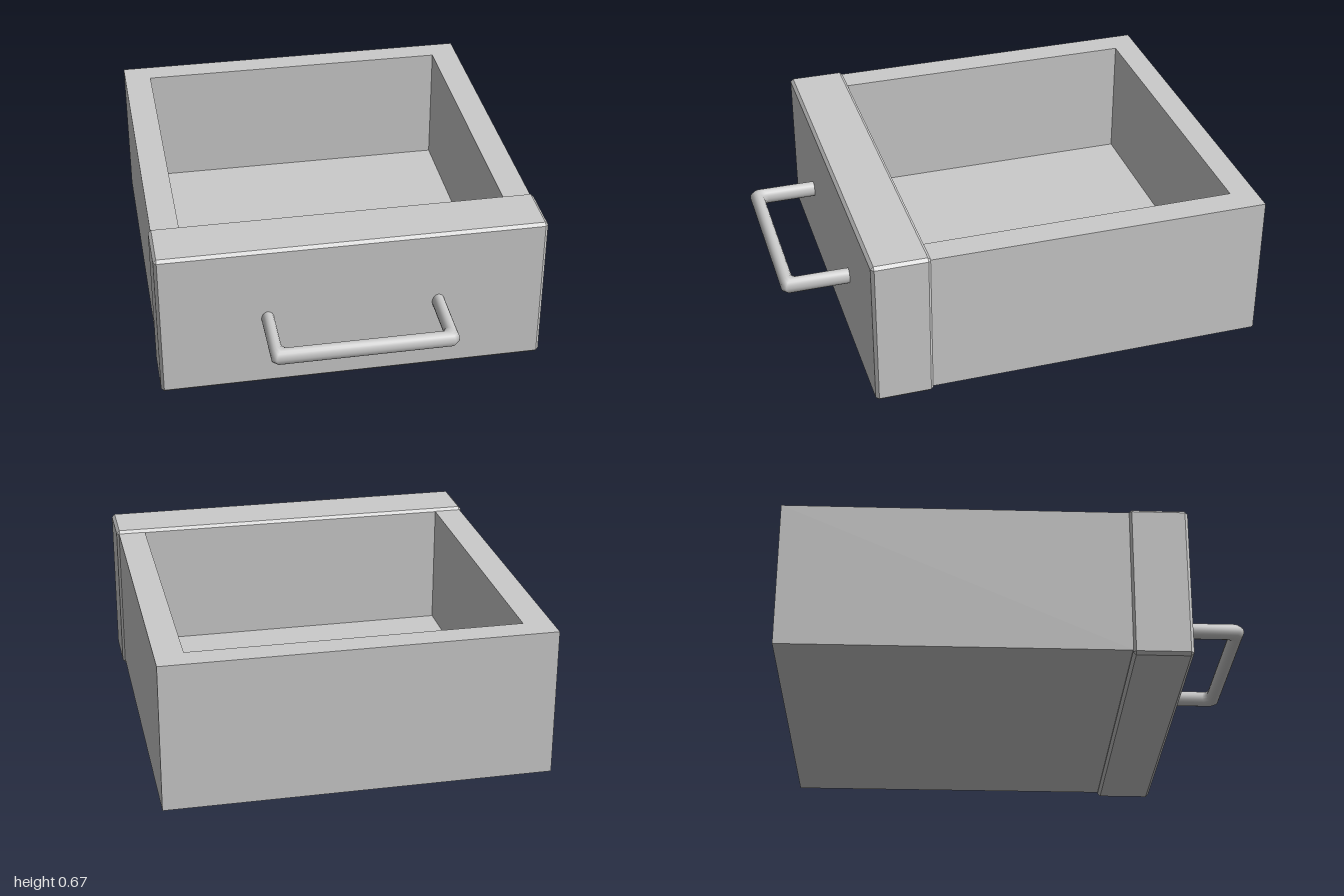
import * as THREE from 'three';
import { ConvexGeometry } from 'three/addons/geometries/ConvexGeometry.js';

const material = new THREE.MeshStandardMaterial({ color: 0xcccccc });

function addPart(group, name, geometry) {
  const mesh = new THREE.Mesh(geometry, material);
  mesh.name = name;
  group.add(mesh);
  return mesh;
}

// Box with every edge cut at 45 degrees, centred on the origin
function chamferedBox(w, h, d, c) {
  const points = [];
  for (const x of [-w / 2, w / 2])
    for (const y of [-h / 2, h / 2])
      for (const z of [-d / 2, d / 2])
        for (let axis = 0; axis < 3; axis++) {
          const inset = [0, 1, 2].map(i => (i === axis ? 0 : c));
          points.push(new THREE.Vector3(
            x - Math.sign(x) * inset[0],
            y - Math.sign(y) * inset[1],
            z - Math.sign(z) * inset[2]));
        }
  return new ConvexGeometry(points);
}

// Oval bar swept through rings, each given by its outer and inner point in the xz plane
function handleGeometry(halfHeight, sides) {
  const half = [
    [-0.392, 0.69, -0.338, 0.69],
    [-0.392, 0.98, -0.338, 0.92],
    [-0.372, 1.0, -0.318, 0.94],
  ];
  const mirrored = half.map(([ox, oz, ix, iz]) => [-ox, oz, -ix, iz]).reverse();
  const rings = [...half, ...mirrored];
  const positions = [], indices = [];
  for (const [ox, oz, ix, iz] of rings)
    for (let s = 0; s < sides; s++) {
      const a = (s / sides) * Math.PI * 2;
      const t = Math.cos(a) / 2;
      positions.push(
        (ox + ix) / 2 + (ox - ix) * t,
        Math.sin(a) * halfHeight,
        (oz + iz) / 2 + (oz - iz) * t);
    }
  for (let r = 0; r < rings.length - 1; r++)
    for (let s = 0; s < sides; s++) {
      const n = (s + 1) % sides;
      const a = r * sides + s, b = r * sides + n;
      const c = a + sides, d = b + sides;
      indices.push(a, c, b, b, c, d);
    }
  const geometry = new THREE.BufferGeometry();
  geometry.setAttribute('position', new THREE.Float32BufferAttribute(positions, 3));
  geometry.setIndex(indices);
  geometry.computeVertexNormals();
  return geometry;
}

export function createModel() {
  const group = new THREE.Group();
  group.name = 'drawer';

  const bottom = 0.02, top = 0.66, floorTop = 0.115;
  const outerX = 0.817, innerX = 0.697;
  const back = -1, innerBack = -0.89, front = 0.46;

  // U-shaped side and back walls
  const outline = new THREE.Shape([
    [-outerX, back], [outerX, back], [outerX, front], [innerX, front],
    [innerX, innerBack], [-innerX, innerBack], [-innerX, front], [-outerX, front],
  ].map(([x, z]) => new THREE.Vector2(x, z)));
  const walls = new THREE.ExtrudeGeometry(outline, { depth: top - bottom, bevelEnabled: false });
  walls.rotateX(Math.PI / 2);
  addPart(group, 'walls', walls).position.y = top;

  // Floor between the walls
  const floor = new THREE.BoxGeometry(innerX * 2, floorTop - bottom, front - innerBack);
  addPart(group, 'floor', floor).position.set(0, (floorTop + bottom) / 2, (front + innerBack) / 2);

  // Thick chamfered front, which also closes the tray
  const panel = chamferedBox(1.655, 0.672, 0.25, 0.013);
  addPart(group, 'frontPanel', panel).position.set(0, 0.336, 0.58);

  // Pull handle
  addPart(group, 'handle', handleGeometry(0.036, 16)).position.y = 0.332;

  return group;
}
